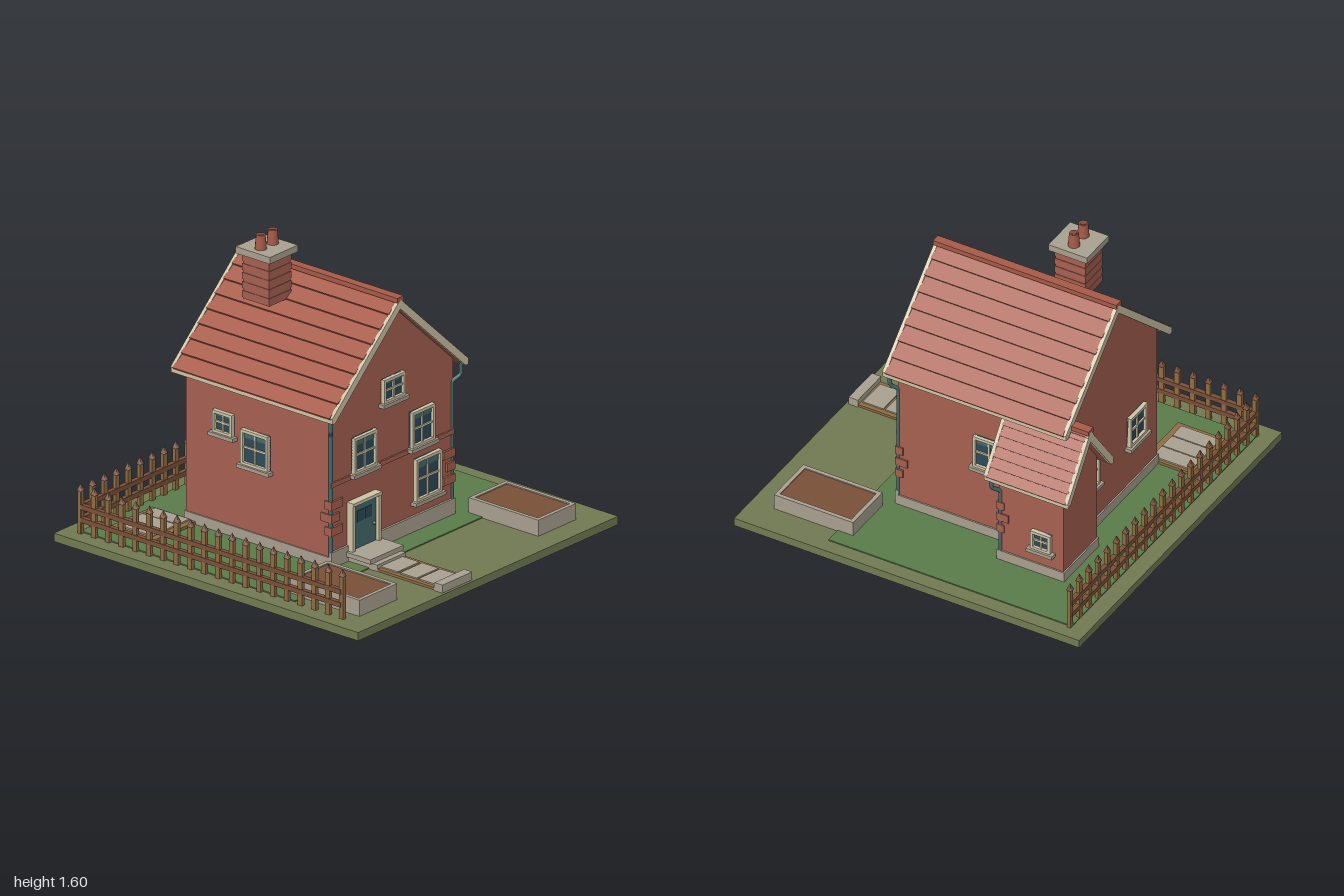
import * as THREE from 'three';

const mat = (name, color) => Object.assign(new THREE.MeshStandardMaterial({ color }), { name });
const M = {
  earth: mat('olive ground', 0x717a52),
  lawn: mat('lawn green', 0x5a7c4a),
  brick: mat('brick red', 0xa56050),
  tile: mat('roof tile', 0xa65a48),
  cream: mat('cream trim', 0xcdc3a6),
  stone: mat('stone', 0xa8a08f),
  glass: mat('dark glass', 0x2c4a5a),
  teal: mat('teal paint', 0x43696a),
  wood: mat('tan wood', 0x8e6c42),
  dark: mat('dark brown', 0x7a5038),
};

function add(parent, name, geo, m, x = 0, y = 0, z = 0) {
  const mesh = new THREE.Mesh(geo, m);
  mesh.name = name;
  mesh.position.set(x, y, z);
  parent.add(mesh);
  return mesh;
}
// box given by its minimum and maximum on each axis
function span(parent, name, m, x0, x1, y0, y1, z0, z1) {
  return add(parent, name, new THREE.BoxGeometry(x1 - x0, y1 - y0, z1 - z0), m,
    (x0 + x1) / 2, (y0 + y1) / 2, (z0 + z1) / 2);
}
function group(parent, name, x = 0, y = 0, z = 0, ry = 0) {
  const g = new THREE.Group();
  g.name = name;
  g.position.set(x, y, z);
  g.rotation.y = ry;
  parent.add(g);
  return g;
}

// gabled block of wall with its ridge along z
function gableWall(parent, name, cx, half, eaveY, apexY, z0, z1) {
  const s = new THREE.Shape();
  s.moveTo(-half, 0.05);
  s.lineTo(half, 0.05);
  s.lineTo(half, eaveY);
  s.lineTo(0, apexY);
  s.lineTo(-half, eaveY);
  s.closePath();
  add(parent, name, new THREE.ExtrudeGeometry(s, { depth: z1 - z0, bevelEnabled: false }), M.brick, cx, 0, z0);
}

// two slopes of lapped tile courses with bargeboards, fascias and a ridge cap
function gableRoof(parent, name, cx, run, ridgeY, eaveY, z0, z1, courses) {
  const roof = group(parent, name, cx, ridgeY, (z0 + z1) / 2);
  const rise = ridgeY - eaveY, L = Math.hypot(run, rise), depth = z1 - z0;
  for (const ry of [0, Math.PI]) {
    const side = group(roof, 'roofSide', 0, 0, 0, ry);
    const slope = group(side, 'roofSlope');
    slope.rotation.z = -Math.atan2(rise, run);
    add(slope, 'roofDeck', new THREE.BoxGeometry(L, 0.02, depth - 0.02), M.tile, L / 2, -0.022, 0);
    const step = L / courses;
    for (let i = 0; i < courses; i++) {
      const course = add(slope, 'tileCourse', new THREE.BoxGeometry(step + 0.01, 0.016, depth - 0.03), M.tile,
        (i + 0.5) * step, -0.006, 0);
      course.rotation.z = 0.14;
    }
    for (const s of [-1, 1])
      add(slope, 'bargeboard', new THREE.BoxGeometry(L, 0.038, 0.02), M.cream, L / 2, -0.015, s * (depth / 2 - 0.01));
    add(side, 'eaveFascia', new THREE.BoxGeometry(0.022, 0.03, depth), M.cream, run - 0.011, -rise - 0.012, 0);
  }
  add(roof, 'ridgeCap', new THREE.BoxGeometry(0.05, 0.026, depth), M.tile, 0, 0.004, 0);
}

// window centred on x, y, facing local +z
function windowAt(parent, x, y, z, w, h, ry = 0) {
  const g = group(parent, 'window', x, y, z, ry), t = 0.016;
  add(g, 'pane', new THREE.BoxGeometry(w, h, 0.008), M.glass, 0, 0, 0.004);
  add(g, 'blind', new THREE.BoxGeometry(w - t, h * 0.2, 0.004), M.teal, 0, h * 0.36, 0.009);
  for (const s of [-1, 1]) {
    add(g, 'jamb', new THREE.BoxGeometry(t, h, 0.024), M.cream, s * (w - t) / 2, 0, 0.012);
    add(g, 'frameRail', new THREE.BoxGeometry(w, t, 0.024), M.cream, 0, s * (h - t) / 2, 0.012);
  }
  add(g, 'mullion', new THREE.BoxGeometry(0.011, h, 0.016), M.cream, 0, 0, 0.008);
  add(g, 'glazingBar', new THREE.BoxGeometry(w, 0.011, 0.016), M.cream, 0, 0, 0.008);
  add(g, 'sill', new THREE.BoxGeometry(w + 0.035, 0.02, 0.036), M.stone, 0, -h / 2 - 0.008, 0.018);
}

// eave pipe that bends in to the wall corner and runs to the ground
function downpipe(parent, x, xWall, y, z) {
  const path = new THREE.CurvePath();
  const pts = [[x, y, z], [x, y - 0.07, z], [xWall, y - 0.105, z - 0.03], [xWall, 0.1, z - 0.03]]
    .map(p => new THREE.Vector3(...p));
  for (let i = 0; i < 3; i++) path.add(new THREE.LineCurve3(pts[i], pts[i + 1]));
  add(parent, 'downpipe', new THREE.TubeGeometry(path, 40, 0.011, 8), M.teal);
}

// three alternating corner blocks; s is the side of the corner
function quoins(parent, x, z, s) {
  [0.245, 0.315, 0.385].forEach((y, i) => {
    const w = i % 2 ? 0.065 : 0.09, d = i % 2 ? 0.07 : 0.045;
    add(parent, 'quoin', new THREE.BoxGeometry(w, 0.045, d), M.brick,
      x + s * (0.008 - w / 2), y, z + 0.012 - d / 2);
  });
}

function fence(parent, name, x, z, ry, length, n) {
  const f = group(parent, name, x, 0, z, ry);
  const tip = new THREE.ConeGeometry(0.021, 0.04, 4).rotateY(Math.PI / 4);
  for (let i = 0; i <= n; i++) {
    const px = i * length / n;
    add(f, 'picket', new THREE.BoxGeometry(0.028, 0.235, 0.02), M.wood, px, 0.1575, 0);
    add(f, 'picketTip', tip, M.dark, px, 0.295, 0);
  }
  for (const y of [0.12, 0.19])
    add(f, 'fenceRail', new THREE.BoxGeometry(length, 0.026, 0.026), M.dark, length / 2, y, 0);
}

export function createModel() {
  const model = new THREE.Group();
  model.name = 'cottage';

  // ground
  span(model, 'groundSlab', M.earth, -1, 1, 0, 0.045, -1, 1);
  span(model, 'lawn', M.lawn, -0.9, 0.92, 0.044, 0.051, -0.91, 0.5);
  fence(model, 'backFence', -0.91, -0.9, 0, 1.83, 20);
  fence(model, 'sideFence', -0.91, -0.9, -Math.PI / 2, 1.72, 19);

  // planters
  for (const [x0, x1] of [[-0.835, -0.545], [0.54, 0.83]]) {
    const p = group(model, 'planter');
    for (const [a, b] of [[x0, x0 + 0.022], [x1 - 0.022, x1]])
      span(p, 'planterSide', M.stone, a, b, 0.045, 0.132, 0.41, 0.868);
    for (const [a, b] of [[0.41, 0.432], [0.846, 0.868]])
      span(p, 'planterEnd', M.stone, x0 + 0.022, x1 - 0.022, 0.045, 0.132, a, b);
    span(p, 'soil', M.dark, x0 + 0.02, x1 - 0.02, 0.045, 0.126, 0.43, 0.848);
  }

  // garden path and rear patio
  span(model, 'pathEdging', M.wood, -0.33, -0.11, 0.045, 0.058, 0.5, 0.95);
  for (const [a, b] of [[0.54, 0.665], [0.682, 0.79], [0.802, 0.92]])
    span(model, 'pathSlab', M.stone, -0.305, -0.135, 0.045, 0.065, a, b);
  span(model, 'pathEndStone', M.stone, -0.335, -0.105, 0.045, 0.088, 0.932, 0.985);
  span(model, 'patioEdging', M.wood, -0.785, -0.455, 0.045, 0.066, -0.815, -0.525);
  for (let i = 0; i < 3; i++)
    span(model, 'patioSlab', M.stone, -0.76 + i * 0.098, -0.668 + i * 0.098, 0.045, 0.074, -0.785, -0.56);

  // main house
  const house = group(model, 'mainHouse');
  gableWall(house, 'mainWalls', 0.013, 0.47, 0.89, 1.325, -0.595, 0.355);
  span(house, 'plinth', M.stone, -0.465, 0.491, 0.045, 0.107, -0.603, 0.363);
  span(house, 'frontPlinth', M.stone, -0.465, 0.491, 0.045, 0.135, 0.35, 0.367);
  span(house, 'stringCourse', M.brick, -0.46, 0.486, 0.483, 0.508, 0.35, 0.364);
  gableRoof(house, 'mainRoof', 0.013, 0.522, 1.365, 0.883, -0.65, 0.413, 8);
  quoins(house, -0.457, 0.355, -1);
  quoins(house, 0.483, 0.355, 1);
  downpipe(house, -0.487, -0.452, 0.87, 0.383);
  downpipe(house, 0.513, 0.478, 0.87, 0.383);

  // side wing
  const wing = group(model, 'sideWing');
  gableWall(wing, 'wingWalls', 0.455, 0.165, 0.615, 0.85, -0.685, -0.312);
  span(wing, 'wingPlinth', M.stone, 0.282, 0.628, 0.045, 0.107, -0.693, -0.303);
  gableRoof(wing, 'wingRoof', 0.455, 0.226, 0.897, 0.588, -0.747, -0.26, 7);
  quoins(wing, 0.62, -0.312, 1);
  downpipe(wing, 0.658, 0.617, 0.58, -0.29);

  // windows on each wall
  const R = Math.PI / 2;
  windowAt(house, -0.208, 0.605, 0.355, 0.176, 0.195);
  windowAt(house, 0.235, 0.605, 0.355, 0.176, 0.195);
  windowAt(house, 0.013, 0.882, 0.355, 0.165, 0.13);
  windowAt(house, 0.277, 0.323, 0.355, 0.195, 0.228);
  windowAt(house, 0.483, 0.56, -0.18, 0.178, 0.19, R);
  windowAt(house, -0.457, 0.56, -0.13, 0.178, 0.19, -R);
  windowAt(house, -0.457, 0.65, -0.34, 0.13, 0.12, -R);
  windowAt(house, 0.215, 0.42, -0.595, 0.15, 0.19, Math.PI);
  windowAt(house, -0.243, 0.435, -0.595, 0.165, 0.18, Math.PI);
  windowAt(wing, 0.46, 0.3, -0.312, 0.16, 0.17);
  windowAt(wing, 0.62, 0.257, -0.563, 0.115, 0.11, R);

  // front door
  const door = group(house, 'frontDoor', -0.222, 0, 0.355);
  span(door, 'doorLeaf', M.teal, -0.092, 0.092, 0.105, 0.35, 0, 0.02);
  for (const s of [-1, 1])
    add(door, 'doorJamb', new THREE.BoxGeometry(0.018, 0.25, 0.04), M.cream, s * 0.101, 0.23, 0.02);
  span(door, 'doorHead', M.cream, -0.11, 0.11, 0.35, 0.367, 0, 0.045);
  for (const s of [-1, 1])
    add(door, 'doorPane', new THREE.BoxGeometry(0.052, 0.06, 0.006), M.glass, s * 0.031, 0.277, 0.021);
  add(door, 'doorKnob', new THREE.SphereGeometry(0.009, 10, 8), M.wood, 0.072, 0.205, 0.026);
  span(door, 'topStep', M.stone, -0.128, 0.128, 0.08, 0.105, 0, 0.17);
  span(door, 'lowerStep', M.stone, -0.11, 0.11, 0.045, 0.08, 0, 0.2);

  // chimney
  const chimney = group(house, 'chimney', -0.172, 0, -0.308);
  add(chimney, 'chimneyStack', new THREE.BoxGeometry(0.164, 0.25, 0.172), M.brick, 0, 1.368, 0);
  for (let i = 0; i < 5; i++)
    add(chimney, 'brickCourse', new THREE.BoxGeometry(0.17, 0.036, 0.178), M.brick, 0, 1.268 + i * 0.049, 0);
  add(chimney, 'chimneyCap', new THREE.BoxGeometry(0.216, 0.036, 0.224), M.stone, 0, 1.506, 0);
  for (const s of [-1, 1]) {
    add(chimney, 'chimneyPot', new THREE.CylinderGeometry(0.024, 0.031, 0.078, 12), M.tile, s * 0.046, 1.562, 0);
    add(chimney, 'potMouth', new THREE.CylinderGeometry(0.017, 0.017, 0.004, 12), M.dark, s * 0.046, 1.601, 0);
  }
  return model;
}
